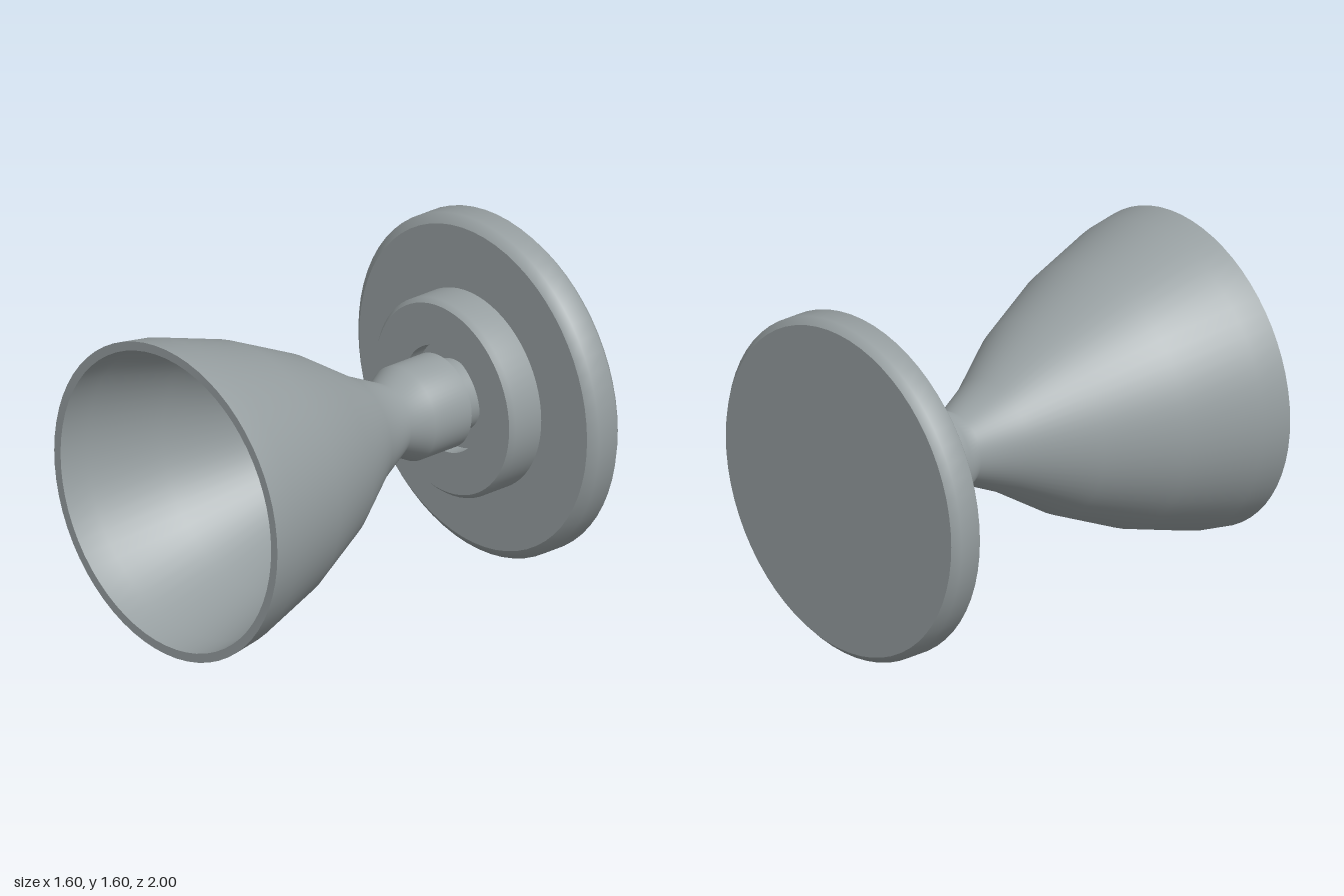
import * as THREE from 'three';
import { mergeGeometries } from 'three/addons/utils/BufferGeometryUtils.js';

const material = new THREE.MeshStandardMaterial({ color: 0x979fa1 });
const AXIS_HEIGHT = 0.8;

// Turned part about the z axis. Each run of [radius, z] is smooth; edges between runs stay sharp.
function turned(name, runs) {
  const parts = runs.map((run) =>
    new THREE.LatheGeometry(run.map(([r, z]) => new THREE.Vector2(r, z)), 64));
  const geometry = mergeGeometries(parts);
  geometry.rotateX(Math.PI / 2);
  const mesh = new THREE.Mesh(geometry, material);
  mesh.name = name;
  mesh.position.y = AXIS_HEIGHT;
  return mesh;
}

export function createModel() {
  const group = new THREE.Group();
  group.name = 'rocketEngine';

  // Large mounting plate with bevelled edges
  group.add(turned('mountingPlate', [
    [[0, -1], [0.768, -1]],
    [[0.768, -1], [0.8, -0.968], [0.8, -0.86], [0.757, -0.827]],
    [[0.757, -0.827], [0, -0.827]],
  ]));

  // Smaller collar with a round socket in its front
  group.add(turned('gimbalCollar', [
    [[0, -0.816], [0.465, -0.816]],
    [[0.465, -0.816], [0.465, -0.665], [0.445, -0.643]],
    [[0.445, -0.643], [0.25, -0.643]],
    [[0.25, -0.643], [0.25, -0.72]],
    [[0.25, -0.72], [0, -0.72]],
  ]));

  // Pivot inside the socket
  group.add(turned('gimbalPivot', [
    [[0.167, -0.72], [0.167, -0.637]],
    [[0.167, -0.637], [0, -0.637]],
  ]));

  // Combustion chamber, throat and hollow flared bell with a rounded inner end
  group.add(turned('chamberAndNozzle', [
    [[0, -0.622], [0.22, -0.622]],
    [[0.22, -0.622], [0.22, -0.41], [0.168, -0.31], [0.265, -0.11], [0.45, 0.17],
      [0.61, 0.51], [0.72, 0.86], [0.742, 1]],
    [[0.742, 1], [0.7, 1]],
    [[0.7, 1], [0.68, 0.86], [0.57, 0.51], [0.41, 0.17], [0.225, -0.11],
      [0.125, -0.29], [0.04, -0.33], [0, -0.33]],
  ]));

  return group;
}
